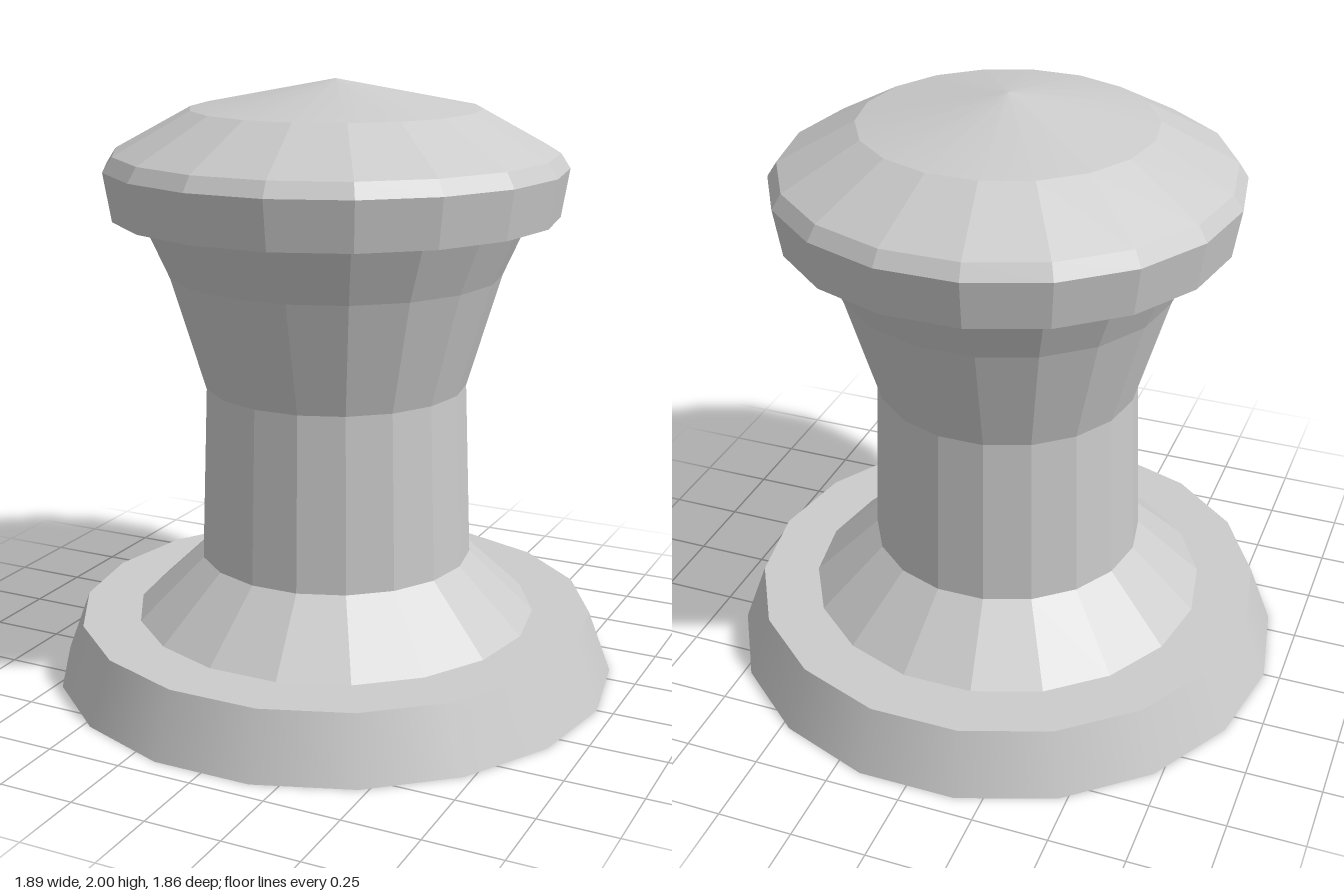
import * as THREE from 'three';

const SIDES = 18;

// Turned band: profile runs from bottom to top as [radius, height], a corner on the x axis
function turned(name, profile, flatShading) {
  const points = profile.map(([r, y]) => new THREE.Vector2(r, y));
  const geometry = new THREE.LatheGeometry(points, SIDES, Math.PI / 2);
  const material = new THREE.MeshStandardMaterial({ color: 0xcccccc, flatShading });
  const mesh = new THREE.Mesh(geometry, material);
  mesh.name = name;
  return mesh;
}

export function createModel() {
  const model = new THREE.Group();
  model.name = 'knob';

  // Foot: flat underside, smooth tapered rim, flat ledge
  const foot = new THREE.Group();
  foot.name = 'foot';
  foot.add(
    turned('footUnderside', [[0, 0], [0.945, 0]], true),
    turned('footRim', [[0.945, 0], [0.868, 0.21]], false),
    turned('footLedge', [[0.868, 0.21], [0.675, 0.21]], true)
  );

  // Stem: faceted flare, neck and widening throat
  const stem = turned('stem', [
    [0.675, 0.21], [0.457, 0.418], [0.435, 1.0], [0.547, 1.375], [0.632, 1.565]
  ], true);

  // Cap: faceted overhang and shoulder, smooth shallow crown
  const cap = new THREE.Group();
  cap.name = 'cap';
  cap.add(
    turned('capRim', [
      [0.632, 1.565], [0.727, 1.565], [0.753, 1.722], [0.722, 1.77], [0.472, 1.907]
    ], true),
    turned('capCrown', [[0.472, 1.907], [0, 2]], false)
  );

  model.add(foot, stem, cap);
  return model;
}
